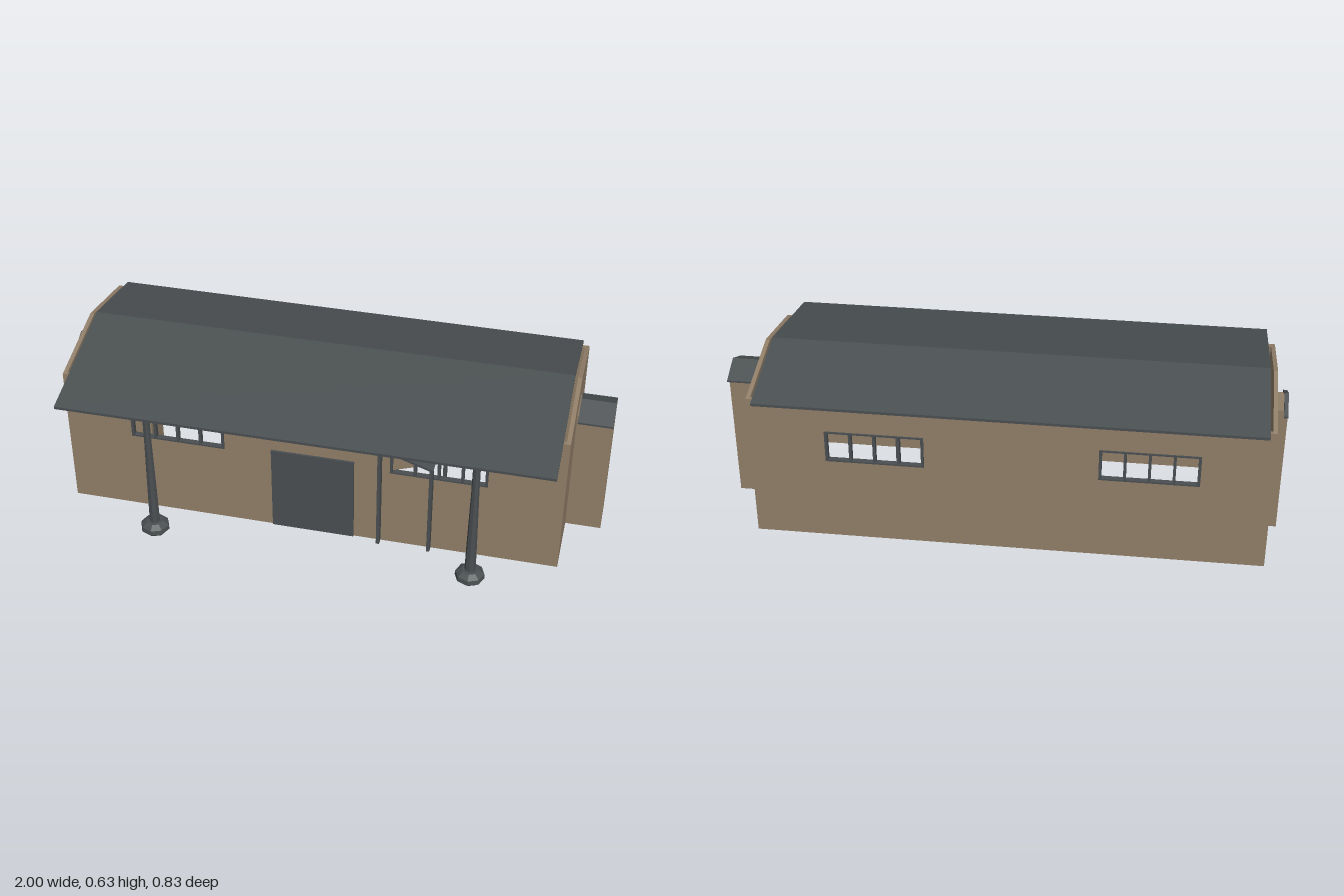
import * as THREE from 'three';

const tan = new THREE.MeshStandardMaterial({ color: 0x917f69 });
tan.name = 'tan plaster';
const slate = new THREE.MeshStandardMaterial({ color: 0x4a4f51 });
slate.name = 'slate grey';

const shapeOf = (pts) => new THREE.Shape(pts.map(([a, b]) => new THREE.Vector2(a, b)));
const extrude = (shape, depth) => new THREE.ExtrudeGeometry(shape, { depth, bevelEnabled: false });

export function createModel() {
  const model = new THREE.Group();

  function add(name, geometry, material, parent = model) {
    const mesh = new THREE.Mesh(geometry, material);
    mesh.name = name;
    parent.add(mesh);
    return mesh;
  }
  // Box given by its limits on each axis
  function box(name, [x0, x1], [y0, y1], [z0, z1], material, parent) {
    const mesh = add(name, new THREE.BoxGeometry(x1 - x0, y1 - y0, z1 - z0), material, parent);
    mesh.position.set((x0 + x1) / 2, (y0 + y1) / 2, (z0 + z1) / 2);
    return mesh;
  }
  // Cross-section in (z, y), running along x
  function prism(name, pts, x0, x1, material) {
    const g = extrude(shapeOf(pts), x1 - x0);
    g.rotateY(-Math.PI / 2);
    g.translate(x1, 0, 0);
    return add(name, g, material);
  }
  // Gabled roof sheet of even thickness
  function gableRoof(name, front, ridge, back, t, x0, x1) {
    const down = ([z, y]) => [z, y - t];
    prism(name, [front, ridge, back, down(back), down(ridge), down(front)], x0, x1, slate);
  }

  const left = 0.87, right = -0.955, front = 0.23, back = -0.38, ridgeZ = -0.075;
  const eaves = 0.555, wall = 0.015;
  const windows = [[-0.71, -0.36], [0.25, 0.6]];
  const sill = 0.325, head = 0.44;

  // Long walls with window openings
  for (const [name, z] of [['frontWall', front - wall], ['backWall', back]]) {
    const s = shapeOf([[right, 0], [left, 0], [left, eaves], [right, eaves]]);
    for (const [a, b] of windows) {
      s.holes.push(new THREE.Path([[a, sill], [a, head], [b, head], [b, sill]]
        .map(([x, y]) => new THREE.Vector2(x, y))));
    }
    const g = extrude(s, wall);
    g.translate(0, 0, z);
    add(name, g, tan);
  }

  // Gable end walls
  const gable = [[front, 0], [front, eaves], [ridgeZ, 0.621], [back, eaves], [back, 0]];
  prism('leftGableWall', gable, left - wall, left, tan);
  prism('rightGableWall', gable, right, right + wall, tan);

  // Main roof, longer over the porch
  gableRoof('roof', [0.39, 0.528], [ridgeZ, 0.63], [-0.41, 0.556], 0.01, -0.93, 0.845);

  // Window frames and bars
  for (const [side, z0, z1] of [['front', front - wall, front + 0.005], ['back', back - 0.005, back + wall]]) {
    for (const [a, b] of windows) {
      const frame = new THREE.Group();
      frame.name = side + 'Window';
      model.add(frame);
      for (let i = 0; i < 5; i++) {
        const x = a + 0.005 + (i / 4) * (b - a - 0.01);
        box('windowBar', [x - 0.005, x + 0.005], [sill, head], [z0, z1], slate, frame);
      }
      for (const y of [sill, head]) {
        box('windowRail', [a, b], [y - 0.003, y + 0.003], [z0, z1], slate, frame);
      }
    }
  }

  // Slanted infill in the left front window
  const infill = extrude(shapeOf([[0.255, 0.33], [0.57, 0.44], [0.255, 0.44]]), 0.004);
  infill.translate(0, 0, front - 0.008);
  add('windowInfill', infill, tan);

  // Door
  box('door', [-0.185, 0.12], [0.002, 0.347], [front - 0.002, front + 0.008], slate);

  // End annexes with their small roofs
  box('leftAnnex', [0.85, 1], [0.003, 0.5], [-0.14, -0.015], tan);
  box('rightAnnex', [-1, -0.73], [0.003, 0.5], [-0.14, -0.015], tan);
  for (const [x0, x1] of [[0.875, 1], [-1, -0.985]]) {
    gableRoof('annexRoof', [0.014, 0.493], [ridgeZ, 0.534], [-0.167, 0.493], 0.007, x0, x1);
  }

  // Porch pillars on faceted stone feet
  const foot = [[0, 0], [0.04, 0], [0.054, 0.014], [0.052, 0.032], [0.032, 0.047], [0, 0.047]]
    .map(([r, y]) => new THREE.Vector2(r, y));
  const shaft = [[0.02, 0.045], [0.0185, 0.16], [0.014, 0.4], [0.0135, 0.49], [0.015, 0.528]]
    .map(([r, y]) => new THREE.Vector2(r, y));
  const facet = (profile) => {
    const g = new THREE.LatheGeometry(profile, 8).toNonIndexed();
    g.computeVertexNormals();
    return g;
  };
  for (const x of [-0.6, 0.573]) {
    const pillar = new THREE.Group();
    pillar.name = 'porchPillar';
    pillar.position.set(x, 0, 0.363);
    model.add(pillar);
    add('pillarShaft', facet(shaft), slate, pillar);
    add('pillarFoot', facet(foot), slate, pillar);
  }

  // Sloping side awning and its posts
  prism('awning', [[front - 0.01, -0.004], [front - 0.01, 0.005], [0.276, 0.005], [0.276, -0.004]],
    -0.114, 0.114, slate);
  const awning = model.getObjectByName('awning');
  awning.position.set(0.303, 0.427, 0);
  awning.rotation.z = -Math.atan2(0.075, 0.215);
  for (const [x, top] of [[0.217, 0.457], [0.403, 0.392]]) {
    box('awningPost', [x - 0.006, x + 0.006], [0.012, top], [0.24, 0.268], slate);
    box('innerPost', [x - 0.006, x + 0.006], [0.012, top], [-0.089, -0.061], slate);
  }

  return model;
}
